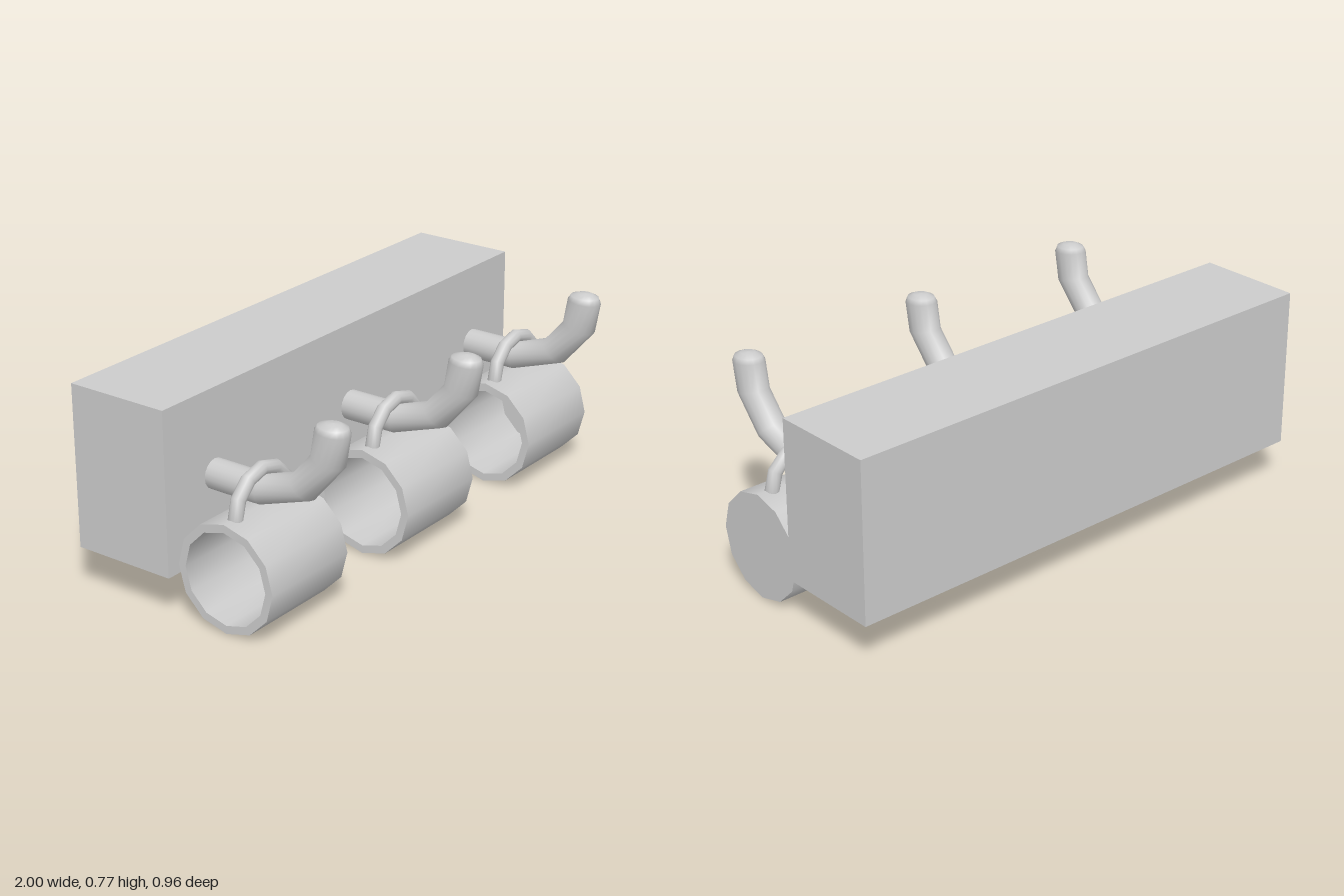
import * as THREE from 'three';
import { toCreasedNormals } from 'three/addons/utils/BufferGeometryUtils.js';

const material = new THREE.MeshStandardMaterial({ color: 0xcccccc });

function part(name, geometry) {
  const mesh = new THREE.Mesh(geometry, material);
  mesh.name = name;
  return mesh;
}

// Bent peg skinned over oval sections: [lower z, lower y, upper z, upper y, half width in x]
function hookGeometry() {
  const sections = [
    [-0.1, 0.403, -0.1, 0.513, 0.054],
    [0.125, 0.403, 0.14, 0.513, 0.054],
    [0.34, 0.475, 0.257, 0.553, 0.054],
    [0.46, 0.614, 0.337, 0.645, 0.054],
    [0.481, 0.73, 0.354, 0.742, 0.054],
    [0.473, 0.752, 0.364, 0.757, 0.046],
    [0.448, 0.763, 0.395, 0.766, 0.025],
    [0.42, 0.767, 0.42, 0.767, 0],
  ];
  const sides = 16, positions = [], index = [];
  sections.forEach(([z0, y0, z1, y1, w], row) => {
    for (let i = 0; i < sides; i++) {
      const a = (i / sides) * Math.PI * 2, t = (1 + Math.sin(a)) / 2;
      positions.push(w * Math.cos(a), y0 + (y1 - y0) * t, z0 + (z1 - z0) * t);
      if (row === 0) continue;
      const j = (i + 1) % sides, p = (row - 1) * sides, q = row * sides;
      index.push(p + i, p + j, q + j, p + i, q + j, q + i);
    }
  });
  const geometry = new THREE.BufferGeometry();
  geometry.setAttribute('position', new THREE.Float32BufferAttribute(positions, 3));
  geometry.setIndex(index);
  geometry.computeVertexNormals();
  return geometry;
}

// Hollow twelve-sided cup lying on its side, open towards -x
function cupGeometry() {
  const profile = [[0, 0.17], [0.17, 0.17], [0.17, -0.2], [0.2, -0.2], [0.2, 0.2], [0, 0.2]];
  const geometry = new THREE.LatheGeometry(profile.map(([r, h]) => new THREE.Vector2(r, h)), 12);
  geometry.rotateZ(-Math.PI / 2);
  return toCreasedNormals(geometry, 0.7);
}

export function createModel() {
  const model = new THREE.Group();
  model.name = 'mugRack';

  // Backing block
  const board = part('backBoard', new THREE.BoxGeometry(2, 0.602, 0.4));
  board.position.set(0, 0.466, -0.28);
  model.add(board);

  const hookGeo = hookGeometry();
  const cupGeo = cupGeometry();
  const handleGeo = new THREE.TorusGeometry(0.14, 0.026, 12, 6, Math.PI);

  // Three hooks, each carrying a mug by its handle
  for (const x of [-0.75, 0, 0.774]) {
    const hook = part('hook', hookGeo);
    hook.position.x = x;

    const mug = new THREE.Group();
    mug.name = 'mug';
    mug.position.set(x + 0.002, 0.2, 0.12);
    const handle = part('mugHandle', handleGeo);
    handle.position.y = 0.19;
    mug.add(part('mugCup', cupGeo), handle);

    model.add(hook, mug);
  }
  return model;
}
